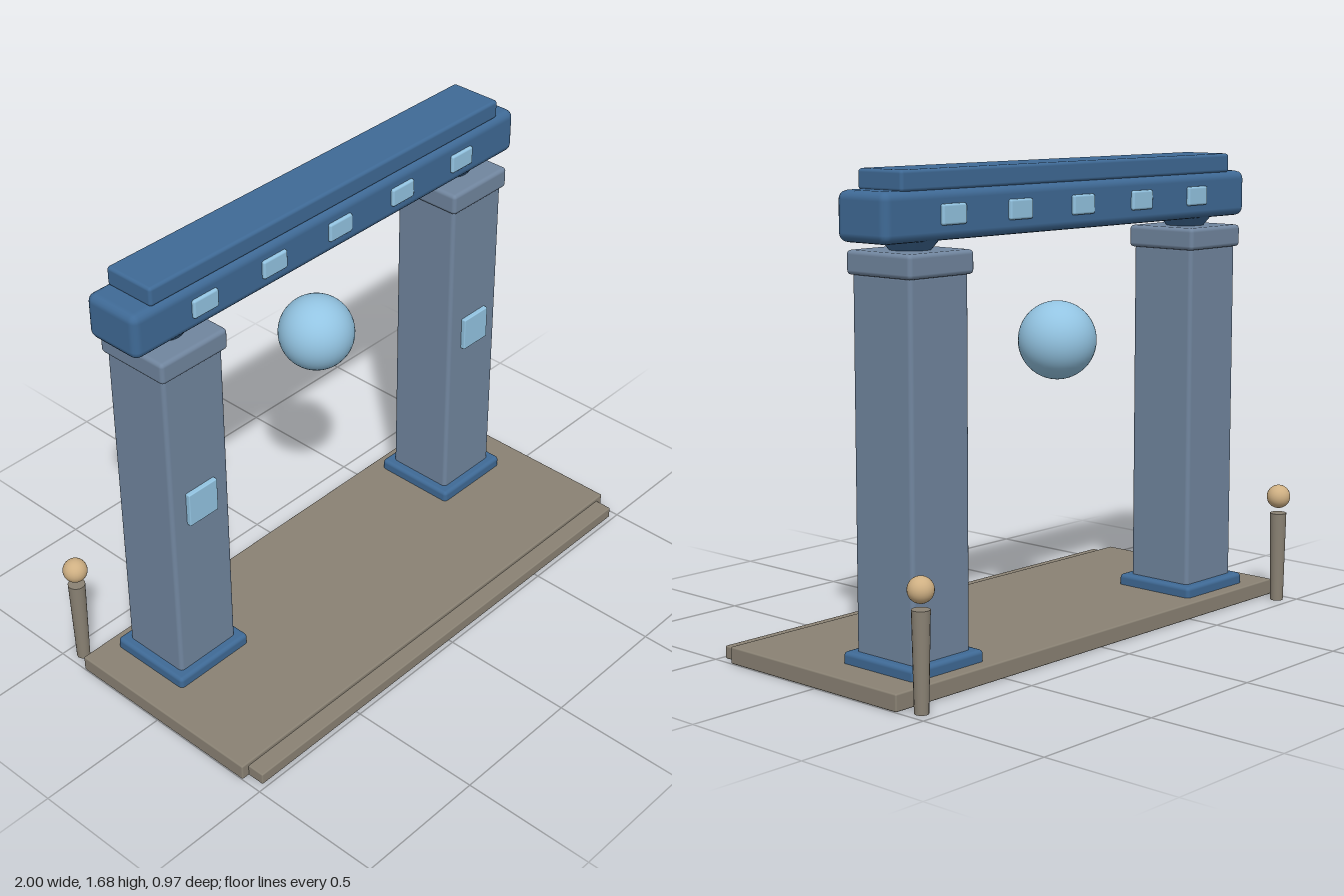
import * as THREE from 'three';
import { RoundedBoxGeometry } from 'three/addons/geometries/RoundedBoxGeometry.js';

const paint = (color) => new THREE.MeshStandardMaterial({ color });

export function createModel() {
  const model = new THREE.Group();
  model.name = 'gateway';
  const stone = paint(0x8a8274), slate = paint(0x71869f), navy = paint(0x3f6a96);
  const glow = paint(0x93c4e2), brass = paint(0xcfb083);
  const gateZ = -0.167;

  function add(name, geometry, material, x, y, z, parent = model) {
    const mesh = new THREE.Mesh(geometry, material);
    mesh.name = name;
    mesh.position.set(x, y, z);
    parent.add(mesh);
    return mesh;
  }
  // Rounded box given by its size, bottom height and centre
  function block(name, [w, h, d], radius, material, x, y0, z, parent) {
    return add(name, new RoundedBoxGeometry(w, h, d, 2, radius), material, x, y0 + h / 2, z, parent);
  }

  // Platform with a lower front step
  block('platform', [2, 0.06, 0.8], 0.006, stone, 0, 0, 0.02);
  block('frontStep', [1.94, 0.045, 0.09], 0.005, stone, 0, 0, 0.44);

  for (const side of [-1, 1]) {
    // Pillar with plinth, capital, flared neck and glowing panel
    const pillar = new THREE.Group();
    pillar.name = side > 0 ? 'leftPillar' : 'rightPillar';
    pillar.position.set(side * 0.711, 0, gateZ);
    model.add(pillar);
    block('plinth', [0.33, 0.06, 0.33], 0.015, navy, 0, 0.04, 0, pillar);
    block('shaft', [0.265, 1.29, 0.265], 0.015, slate, 0, 0.06, 0, pillar);
    block('capital', [0.293, 0.08, 0.293], 0.015, slate, 0, 1.34, 0, pillar);
    add('neck', new THREE.CylinderGeometry(0.105, 0.06, 0.055, 24), navy, 0, 1.437, 0, pillar);
    block('pillarPanel', [0.13, 0.13, 0.03], 0.004, glow, 0, 0.725, 0.135, pillar);

    // Lamp post behind the platform corner
    const post = new THREE.Group();
    post.name = side > 0 ? 'leftLampPost' : 'rightLampPost';
    post.position.set(side * 0.95, 0, -0.443);
    model.add(post);
    add('postShaft', new THREE.CylinderGeometry(0.031, 0.024, 0.335, 16), stone, 0, 0.1675, 0, post);
    add('postBall', new THREE.SphereGeometry(0.044, 24, 16), brass, 0, 0.398, 0, post);
  }

  // Lintel, its top slab and the row of small panels on both faces
  block('lintel', [1.86, 0.165, 0.226], 0.03, navy, 0, 1.45, gateZ);
  block('topSlab', [1.69, 0.07, 0.2], 0.012, navy, 0, 1.61, gateZ);
  for (let i = -2; i <= 2; i++) {
    for (const face of [-1, 1]) {
      block('lintelPanel', [0.11, 0.068, 0.024], 0.008, glow, i * 0.315, 1.5, gateZ + face * 0.113);
    }
  }

  // Floating orb
  add('orb', new THREE.SphereGeometry(0.137, 40, 28), glow, 0, 1.06, gateZ);
  return model;
}
